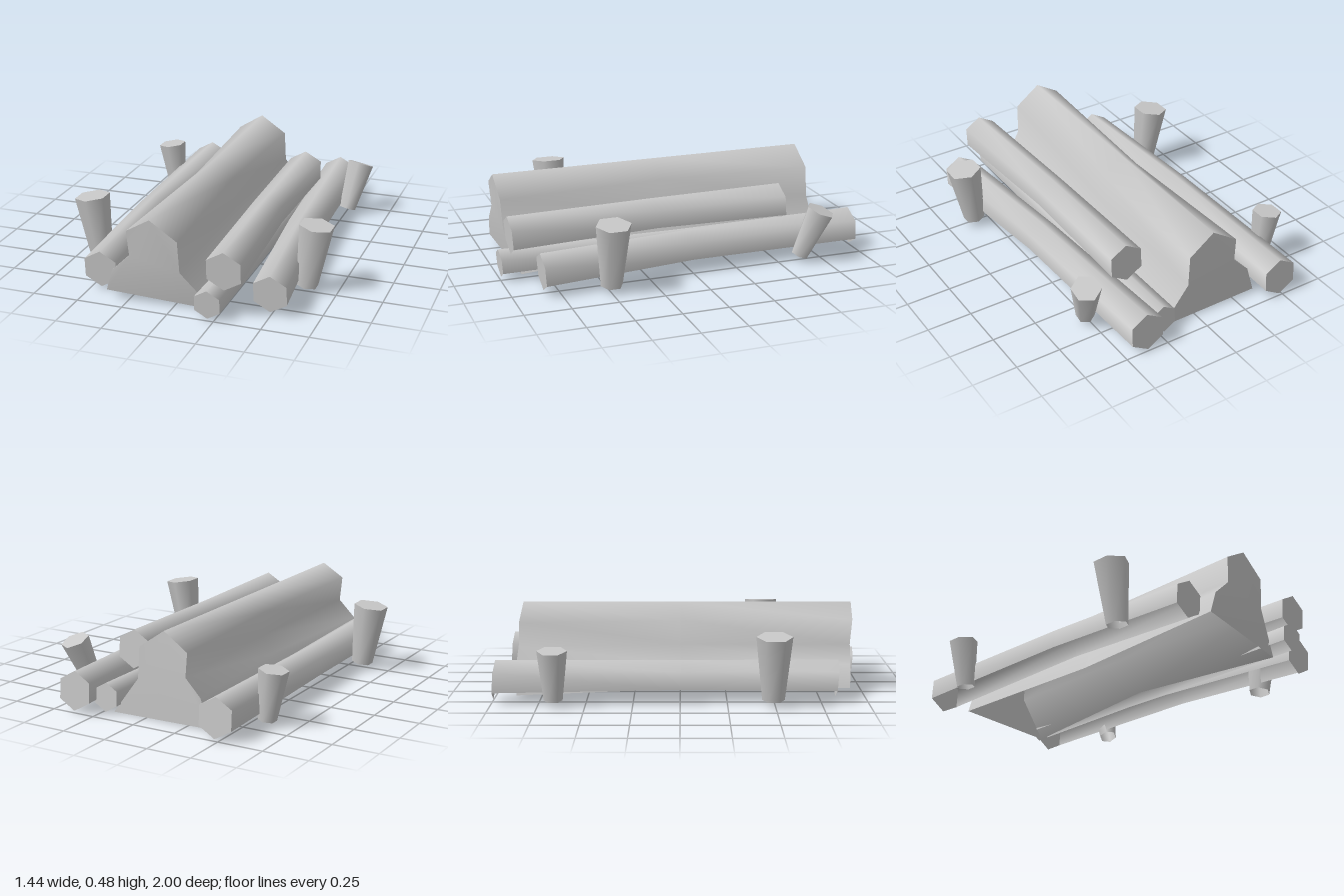
import * as THREE from 'three';

const wood = new THREE.MeshStandardMaterial({ color: 0xc8c8c8, side: THREE.DoubleSide });
wood.name = 'grey wood';

// Lofts matching rings of [x, y, z] points (counter-clockwise from the front), ordered back to front.
// Strips listed in openStrips are left out, so the underside stays hollow.
// Sides share vertices and shade smoothly; the caps are separate and flat.
function loft(rings, openStrips) {
  const n = rings[0].length;
  const pos = rings.flat(2);
  const index = [];
  for (let i = 0; i < rings.length - 1; i++) {
    for (let j = 0; j < n; j++) {
      if (openStrips.includes(j)) continue;
      const a = i * n + j, b = i * n + (j + 1) % n;
      index.push(a, b, b + n, a, b + n, a + n);
    }
  }
  [rings[0], rings[rings.length - 1]].forEach((ring, end) => {
    const base = pos.length / 3;
    pos.push(...ring.flat());
    const outline = ring.map(p => new THREE.Vector2(p[0], p[1]));
    for (const [a, b, c] of THREE.ShapeUtils.triangulateShape(outline, [])) {
      index.push(base + a, base + (end ? b : c), base + (end ? c : b));
    }
  });
  const g = new THREE.BufferGeometry();
  g.setAttribute('position', new THREE.Float32BufferAttribute(pos, 3));
  g.setIndex(index);
  g.computeVertexNormals();
  return g;
}

// Upright hexagon around a station [x, y, z, radius], starting at the bottom and leaning slightly forward
function hexagon([x, y, z, r]) {
  return Array.from({ length: 6 }, (_, k) => {
    const a = -Math.PI / 2 + k * Math.PI / 3;
    return [x + r * Math.cos(a), y + r * Math.sin(a), z + 0.07 * r * Math.sin(a)];
  });
}

// Six-sided tapered post without a bottom cap
function post(topRadius, bottomRadius, height) {
  const g = new THREE.CylinderGeometry(topRadius, bottomRadius, height, 6);
  g.setIndex(Array.from(g.index.array).slice(0, g.groups[2].start));
  g.clearGroups();
  return g;
}

export function createModel() {
  const group = new THREE.Group();
  const add = (name, geometry) => {
    const mesh = new THREE.Mesh(geometry, wood);
    mesh.name = name;
    group.add(mesh);
    return mesh;
  };

  // Large central timber: flared foot, peaked ridge, pinched waist, hollow below
  add('centralTimber', loft([
    [[-0.385, 0.012, -0.885], [0.2, 0.003, -0.88], [0.045, 0.21, -0.88], [0.037, 0.38, -0.875],
      [-0.11, 0.482, -0.87], [-0.253, 0.39, -0.88], [-0.245, 0.26, -0.885], [-0.335, 0.17, -0.89]],
    [[-0.325, 0.035, 0], [0.12, 0.03, 0], [0.01, 0.21, 0], [0, 0.385, 0],
      [-0.11, 0.482, 0], [-0.21, 0.395, 0], [-0.2, 0.26, 0], [-0.275, 0.17, 0]],
    [[-0.367, 0.05, 0.92], [0.205, 0.005, 0.875], [0.044, 0.21, 0.93], [0.037, 0.38, 0.94],
      [-0.11, 0.482, 0.945], [-0.24, 0.405, 0.94], [-0.23, 0.265, 0.93], [-0.33, 0.17, 0.925]],
  ], [0]));

  // Hexagonal logs, slightly bowed and hollow below: back, middle and front stations
  const logs = {
    rightLog: [[-0.48, 0.12, -0.99, 0.107], [-0.475, 0.13, 0, 0.096], [-0.438, 0.12, 0.838, 0.102]],
    leftLog: [[0.37, 0.12, -0.99, 0.107], [0.42, 0.13, 0, 0.096], [0.495, 0.12, 0.838, 0.102]],
    upperLog: [[0.253, 0.268, -0.61, 0.107], [0.26, 0.275, 0.15, 0.097], [0.289, 0.265, 0.957, 0.105]],
    lowerLog: [[0.222, 0.09, -0.92, 0.078], [0.228, 0.095, 0, 0.068], [0.214, 0.088, 0.995, 0.078]],
  };
  for (const [name, stations] of Object.entries(logs)) add(name, loft(stations.map(hexagon), [0, 5]));

  // Tapered stakes leaning outwards: bottom centre, top centre, bottom and top radius
  const stakes = {
    frontLeftStake: [[0.59, 0.037, 0.49], [0.635, 0.38, 0.49], 0.06, 0.096],
    frontRightStake: [[-0.59, 0.037, 0.49], [-0.636, 0.38, 0.49], 0.06, 0.096],
    backLeftStake: [[0.515, 0.04, -0.62], [0.565, 0.3, -0.715], 0.05, 0.08],
    backRightStake: [[-0.595, 0.035, -0.667], [-0.63, 0.305, -0.667], 0.05, 0.08],
  };
  for (const [name, [from, to, r0, r1]] of Object.entries(stakes)) {
    const a = new THREE.Vector3(...from), b = new THREE.Vector3(...to);
    const axis = b.clone().sub(a);
    const stake = add(name, post(r1, r0, axis.length()));
    stake.position.copy(a).add(b).multiplyScalar(0.5);
    stake.quaternion.setFromUnitVectors(new THREE.Vector3(0, 1, 0), axis.normalize());
  }
  return group;
}
